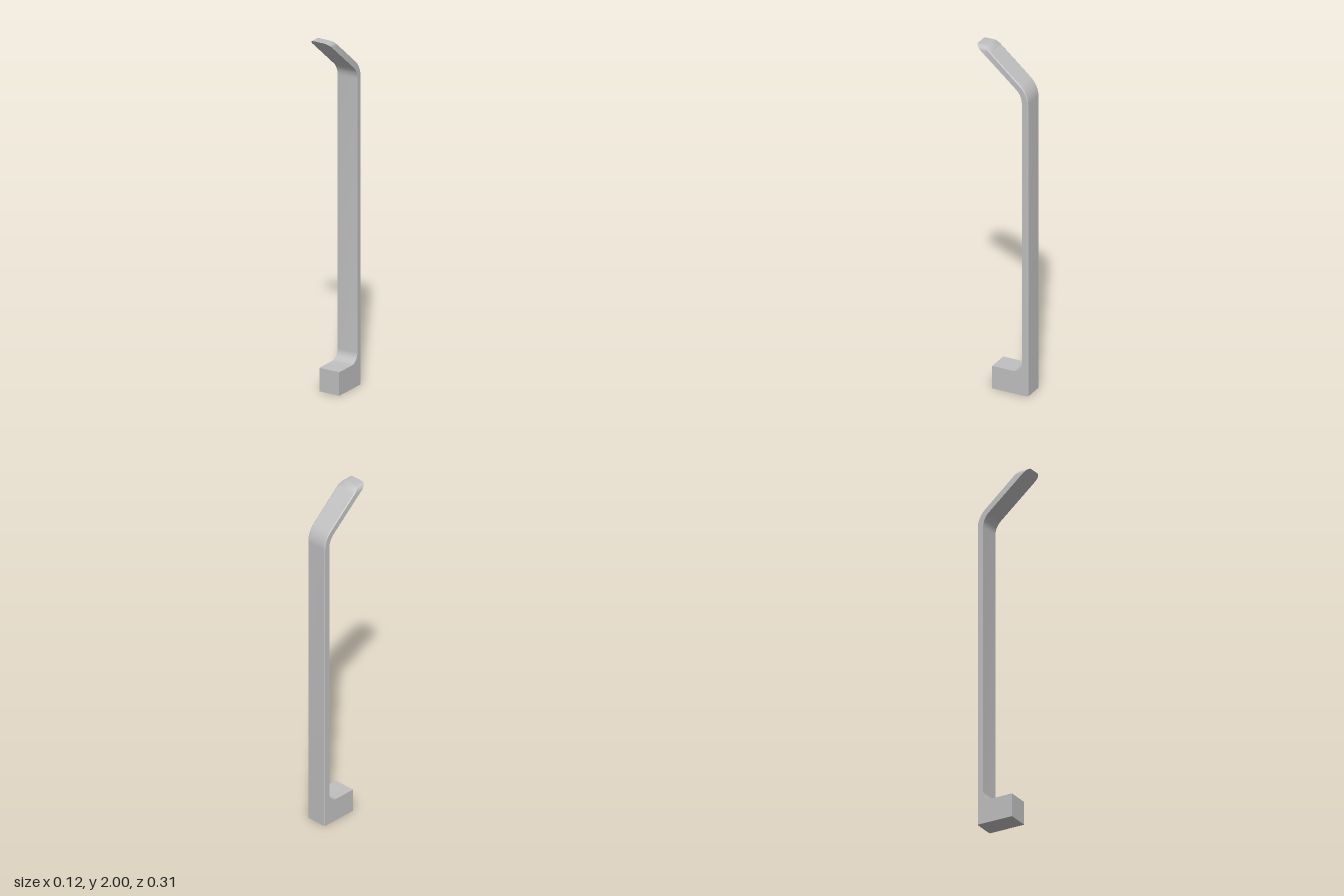
import * as THREE from 'three';
import { toCreasedNormals } from 'three/addons/utils/BufferGeometryUtils.js';

const HALF = 0.0625; // half width
const BACK = -0.156; // rear plane
const BEVEL = 0.005; // softened rear edges

// Each station pairs a front point with a rear point of the side profile.
function makeStations() {
  const list = [];
  const add = (zf, yf, zb, yb, w = HALF) => list.push({ zf, yf, zb, yb, w });

  // Foot block
  add(0.056, 0, BACK, 0);
  add(0.056, 0.132, BACK, 0.132);

  // Fillet between foot and upright
  const r = 0.055;
  for (let i = 0; i <= 8; i++) {
    const a = (i / 8) * Math.PI / 2;
    const y = 0.132 + r * (1 - Math.cos(a));
    add(-0.065 - r * Math.sin(a), y, BACK, y);
  }

  // Bend at the top of the upright (concentric arcs)
  const turn = THREE.MathUtils.degToRad(49.5);
  const outer = 0.134, inner = 0.098, cz = BACK + outer, cy = 1.72;
  for (let i = 0; i <= 8; i++) {
    const a = (i / 8) * turn, c = Math.cos(a), s = Math.sin(a);
    add(cz - inner * c, cy + inner * s, cz - outer * c, cy + outer * s);
  }

  // Sloping arm, ending in a level tip with rounded corners
  const tip = 0.03, slope = 1 / Math.tan(turn);
  for (let i = 0; i <= 8; i++) {
    const a = (i / 8) * Math.PI / 2;
    const y = 2 - tip + tip * Math.sin(a), back = (2 - y) / slope;
    add(0.156 - back, y, 0.1 - back, y, HALF - tip + tip * Math.cos(a));
  }
  return list;
}

// Six-point cross-section, counter-clockwise from above
function ring({ zf, yf, zb, yb, w }) {
  const t = BEVEL / Math.hypot(zf - zb, yf - yb);
  const zs = zb + (zf - zb) * t, ys = yb + (yf - yb) * t;
  const right = [[w, yf, zf], [w, ys, zs], [w - BEVEL, yb, zb]];
  const left = right.map(([x, y, z]) => [-x, y, z]).reverse();
  return [...right, ...left];
}

function loft(rings) {
  const pos = [];
  const tri = (a, b, c) => {
    const [u, v, w] = [a, b, c].map((p) => new THREE.Vector3(...p));
    const area = v.clone().sub(u).cross(w.clone().sub(u)).length();
    if (area > 1e-9) pos.push(...a, ...b, ...c);
  };
  const n = rings[0].length;
  for (let i = 0; i < rings.length - 1; i++) {
    const lo = rings[i], hi = rings[i + 1];
    for (let k = 0; k < n; k++) {
      const m = (k + 1) % n;
      tri(lo[k], lo[m], hi[m]);
      tri(lo[k], hi[m], hi[k]);
    }
  }
  // End caps
  const bottom = rings[0], top = rings[rings.length - 1];
  for (let k = 1; k < n - 1; k++) {
    tri(bottom[0], bottom[k + 1], bottom[k]);
    tri(top[0], top[k], top[k + 1]);
  }
  const geometry = new THREE.BufferGeometry();
  geometry.setAttribute('position', new THREE.Float32BufferAttribute(pos, 3));
  return toCreasedNormals(geometry, Math.PI / 6);
}

export function createModel() {
  const group = new THREE.Group();
  group.name = 'bentHandle';
  const grey = new THREE.MeshStandardMaterial({ color: 0xc0c0c0 });
  grey.name = 'light grey';

  // Foot, upright and bent arm in one continuous body
  const body = new THREE.Mesh(loft(makeStations().map(ring)), grey);
  body.name = 'bentBar';
  group.add(body);
  return group;
}
